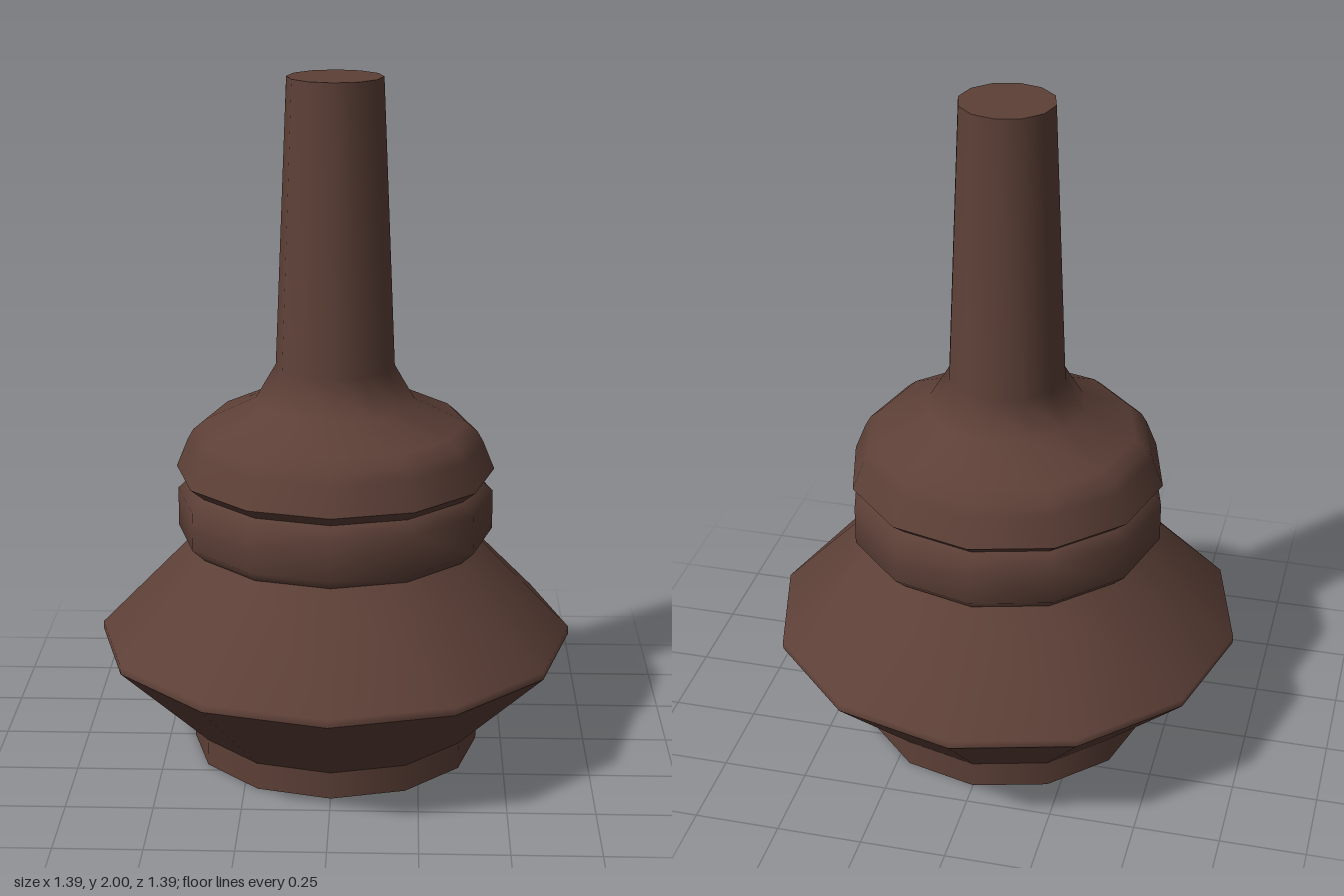
import * as THREE from 'three';

const SIDES = 12;

export function createModel() {
  const group = new THREE.Group();
  const brown = new THREE.MeshStandardMaterial({ color: 0x5d4037 });
  brown.name = 'dark brown';

  // Turned part from a bottom-to-top profile of [radius, height]; smooth within each part
  function turned(name, profile) {
    const points = profile.map(([r, y]) => new THREE.Vector2(r, y));
    const mesh = new THREE.Mesh(new THREE.LatheGeometry(points, SIDES), brown);
    mesh.name = name;
    group.add(mesh);
  }

  // Foot
  turned('footUnderside', [[0, 0], [0.425, 0]]);
  turned('foot', [[0.425, 0], [0.425, 0.08]]);

  // Wide double-cone body
  turned('lowerBody', [[0.425, 0.08], [0.695, 0.342]]);
  turned('upperBody', [[0.695, 0.342], [0.695, 0.365], [0.425, 0.64]]);

  // Neck ring between two grooves
  turned('neckRing', [[0.425, 0.64], [0.462, 0.675], [0.462, 0.79], [0.425, 0.825]]);

  // Rounded shoulder flowing into the tapered stem
  turned('shoulderUnderside', [[0.425, 0.825], [0.465, 0.858]]);
  turned('shoulderAndStem', [
    [0.465, 0.858], [0.432, 0.94], [0.415, 0.97], [0.38, 1.0],
    [0.23, 1.07], [0.172, 1.17], [0.137, 2],
  ]);
  turned('stemTop', [[0.137, 2], [0, 2]]);

  return group;
}
